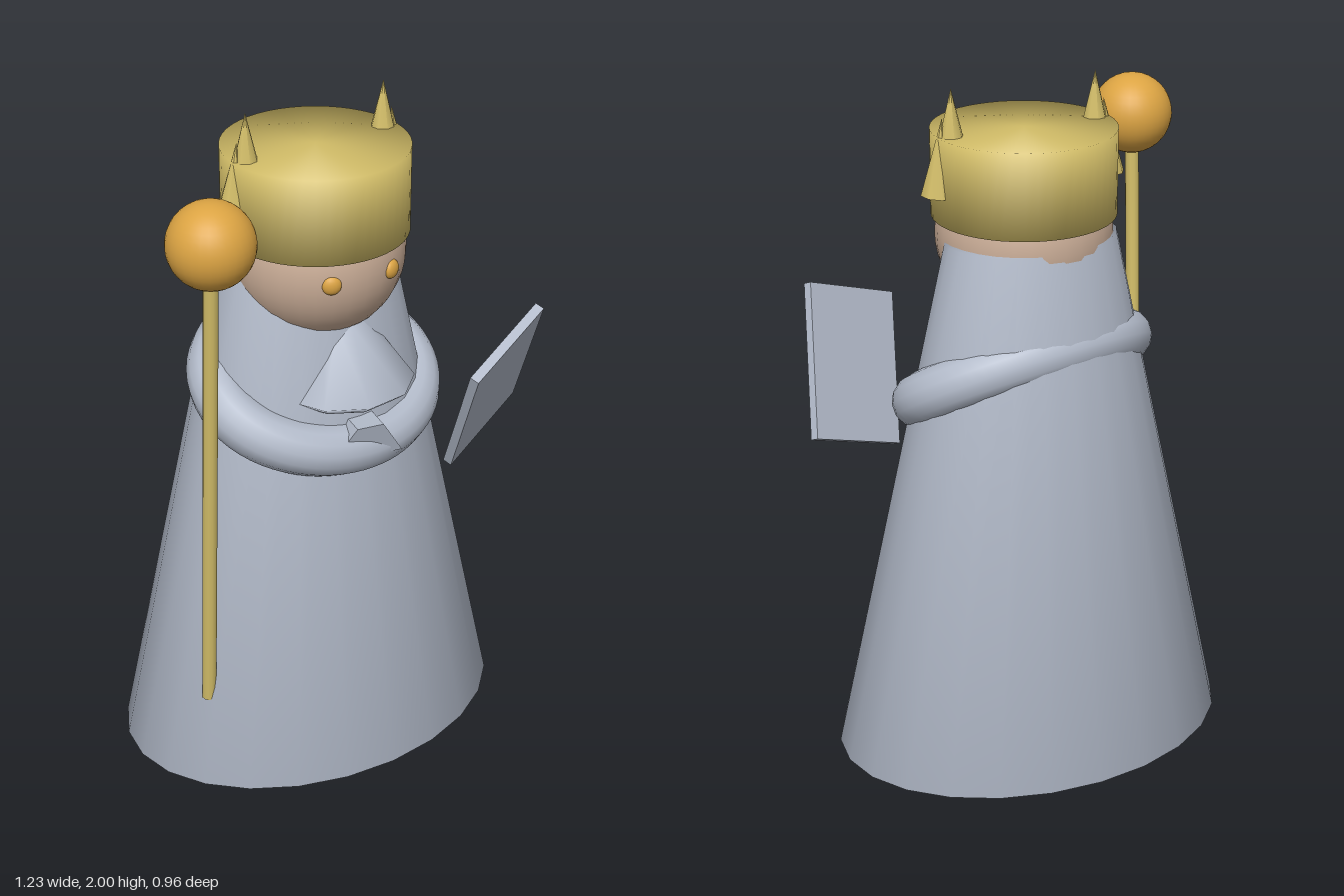
import * as THREE from 'three';
import { mergeVertices } from 'three/addons/utils/BufferGeometryUtils.js';

const mat = (name, color) => {
  const m = new THREE.MeshStandardMaterial({ color });
  m.name = name;
  return m;
};

// Share corners so that shading rolls over the rims
function soften(geo) {
  geo.deleteAttribute('normal');
  geo.deleteAttribute('uv');
  const g = mergeVertices(geo, 1e-4);
  g.computeVertexNormals();
  return g;
}

export function createModel() {
  const model = new THREE.Group();
  const cloth = mat('greyBlueCloth', 0xb3bbca);
  const gold = mat('paleGold', 0xd2bd68);
  const amber = mat('amber', 0xdca443);
  const skin = mat('skin', 0xcbae98);

  const add = (name, geo, material, x = 0, y = 0, z = 0) => {
    const mesh = new THREE.Mesh(geo, material);
    mesh.name = name;
    mesh.position.set(x, y, z);
    model.add(mesh);
    return mesh;
  };

  // Robe: flattened, slightly turned cone leaning a little backward
  const robeH = 1.565, yaw = 0.2;
  const robe = new THREE.CylinderGeometry(0.423, 1, robeH, 24);
  robe.scale(0.607, 1, 0.455);
  robe.rotateY(yaw);
  robe.translate(0, robeH / 2, 0);
  const p = robe.attributes.position;
  for (let i = 0; i < p.count; i++) p.setZ(i, p.getZ(i) - 0.008 * p.getY(i));
  add('robe', soften(robe), cloth, -0.02, 0, -0.02);

  // Sleeves: one tilted oval ring, high at the back and low in front
  const ring = [];
  for (let i = 0; i < 24; i++) {
    const t = (i / 24) * Math.PI * 2;
    const v = new THREE.Vector3(Math.cos(t) * 0.33, 0, Math.sin(t) * 0.215)
      .applyAxisAngle(new THREE.Vector3(0, 1, 0), 0.28);
    v.y = 1.14 - 0.22 * v.x - 0.58 * v.z;
    ring.push(v.add(new THREE.Vector3(-0.01, 0, 0.015)));
  }
  const ringPath = new THREE.CatmullRomCurve3(ring, true);
  add('sleeves', new THREE.TubeGeometry(ringPath, 64, 0.078, 14, true), cloth);

  // Head and eyes
  add('head', new THREE.SphereGeometry(0.255, 32, 24), skin, -0.015, 1.56, 0.025);
  for (const [x, z, turn] of [[-0.07, 0.268, -0.2], [0.122, 0.236, 0.56]]) {
    const eye = add('eye', new THREE.SphereGeometry(0.028, 16, 12), amber, x, 1.55, z);
    eye.scale.z = 0.6;
    eye.rotation.y = turn;
  }

  // Beard: flaring fan with a shallow underside
  const beardProfile = [[0, 1.13], [0.17, 1.145], [0.21, 1.175], [0.07, 1.37], [0, 1.45]]
    .map(([r, y]) => new THREE.Vector2(r, y));
  const beard = add('beard', new THREE.LatheGeometry(beardProfile, 10), cloth, 0.025, 0, 0.125);
  beard.scale.z = 0.95;

  // Beard tip: small tapered block above the sleeves
  const tip = new THREE.BoxGeometry(1, 0.11, 0.12);
  const q = tip.attributes.position;
  for (let i = 0; i < q.count; i++) {
    const low = q.getY(i) < 0;
    q.setX(i, q.getX(i) * (low ? 0.22 : 0.08));
    if (low) q.setZ(i, q.getZ(i) - 0.025);
  }
  tip.computeVertexNormals();
  add('beardTip', tip, cloth, 0.035, 1.05, 0.245);

  // Crown with a pair of points on each side
  add('crown', soften(new THREE.CylinderGeometry(0.265, 0.265, 0.25, 48)), gold, -0.015, 1.74, 0.025);
  for (const [s, z] of [[-1, 0.065], [1, -0.015]]) {
    add('upperCrownPoint', new THREE.ConeGeometry(0.037, 0.15, 8), gold, -0.015 + s * 0.22, 1.925, z);
    const side = add('sideCrownPoint', new THREE.ConeGeometry(0.05, 0.22, 8), gold,
      -0.015 + s * 0.253, 1.808, z);
    side.rotation.z = s * 0.06;
  }

  // Staff with a round head
  const top = new THREE.Vector3(-0.447, 1.78, 0.358), foot = new THREE.Vector3(-0.447, 0.27, 0.245);
  const axis = top.clone().sub(foot);
  const staff = add('staff', new THREE.CylinderGeometry(0.021, 0.021, axis.length(), 12), gold);
  staff.position.copy(top).add(foot).multiplyScalar(0.5);
  staff.quaternion.setFromUnitVectors(new THREE.Vector3(0, 1, 0), axis.normalize());
  add('staffBall', new THREE.SphereGeometry(0.12, 32, 20), amber, -0.447, 1.78, 0.358);

  // Tilted tablet held at the left
  const u = new THREE.Vector3(0.275, 0.11, -0.145).normalize();
  const n = u.clone().cross(new THREE.Vector3(-0.055, 0.4, 0.24)).normalize();
  const tablet = add('tablet', new THREE.BoxGeometry(0.33, 0.46, 0.028), cloth, 0.45, 1.115, 0.24);
  tablet.quaternion.setFromRotationMatrix(new THREE.Matrix4().makeBasis(u, n.clone().cross(u), n));

  return model;
}
